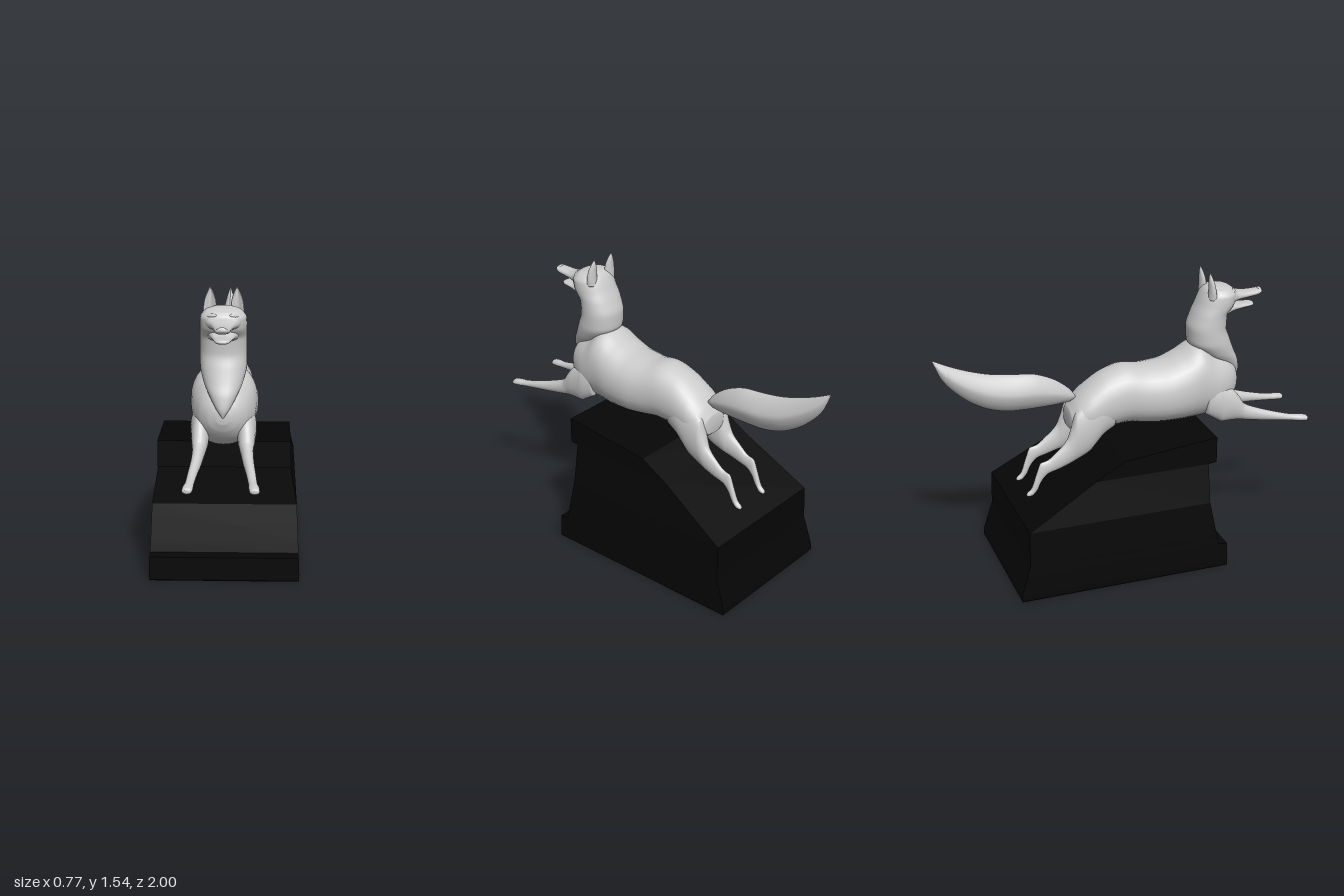
import * as THREE from 'three';
import { toCreasedNormals } from 'three/addons/utils/BufferGeometryUtils.js';

const grey = new THREE.MeshStandardMaterial({ color: 0xcccccc });
const black = new THREE.MeshStandardMaterial({ color: 0x060606 });

// Skin closed rings of points (counterclockwise about the loft axis) and cap both ends
function skin(rings) {
  const n = rings[0].length, pos = [], idx = [];
  rings.forEach(r => r.forEach(p => pos.push(...p)));
  for (let i = 0; i < rings.length - 1; i++) {
    for (let j = 0; j < n; j++) {
      const a = i * n + j, b = i * n + (j + 1) % n;
      idx.push(a, b, a + n, b, b + n, a + n);
    }
  }
  [0, rings.length - 1].forEach(i => {
    const c = pos.length / 3;
    pos.push(...[0, 1, 2].map(k => rings[i].reduce((s, p) => s + p[k] / n, 0)));
    for (let j = 0; j < n; j++) {
      const a = i * n + j, b = i * n + (j + 1) % n;
      idx.push(...(i ? [a, b, c] : [b, a, c]));
    }
  });
  const g = new THREE.BufferGeometry();
  g.setAttribute('position', new THREE.Float32BufferAttribute(pos, 3));
  g.setIndex(idx);
  g.computeVertexNormals();
  return g;
}

// Fill in sections between the given ones with a smooth curve that does not overshoot
function refine(list, steps = 6) {
  const s = [...list].sort((a, b) => a[0] - b[0]), out = [];
  const rate = (k, c) => (s[k + 1][c] - s[k][c]) / (s[k + 1][0] - s[k][0]);
  const slope = (k, c) => {
    if (k === 0) return rate(0, c);
    if (k === s.length - 1) return rate(k - 1, c);
    const d = rate(k - 1, c), e = rate(k, c);
    return d * e <= 0 ? 0 : 2 * d * e / (d + e);
  };
  for (let k = 0; k < s.length - 1; k++) {
    const h = s[k + 1][0] - s[k][0];
    for (let i = 0; i < steps; i++) {
      const t = i / steps, u = 1 - t;
      out.push(s[k].map((v, c) => c === 0 ? v + h * t :
        (1 + 2 * t) * u * u * v + t * u * u * h * slope(k, c) +
        t * t * (3 - 2 * t) * s[k + 1][c] - t * t * u * h * slope(k + 1, c)));
    }
  }
  out.push(s[s.length - 1]);
  return out;
}

// Rounded outline: power 1 is a diamond, 2 an ellipse, more is boxier
function outline(power, n = 28) {
  const bend = v => Math.sign(v) * Math.abs(v) ** (2 / power);
  return Array.from({ length: n }, (_, j) => {
    const a = j / n * Math.PI * 2;
    return [bend(Math.cos(a)), bend(Math.sin(a))];
  });
}

// Sections along z: [z, top, bottom, half width, centre x]
function loftZ(list, power = 2) {
  return skin(refine(list).map(([z, top, bottom, w, x = 0]) =>
    outline(power).map(([c, s]) => [x + c * w, (top + bottom) / 2 + s * (top - bottom) / 2, z])));
}

// Sections along y: [y, front z, back z, half width]
function loftY(list, power = 2) {
  return skin(refine(list).map(([y, front, back, w]) =>
    outline(power).map(([c, s]) => [s * w, y, (front + back) / 2 + c * (front - back) / 2])));
}

export function createModel() {
  const model = new THREE.Group();
  const add = (name, geometry, material = grey) => {
    const mesh = new THREE.Mesh(geometry, material);
    mesh.name = name;
    model.add(mesh);
    return mesh;
  };

  // Pedestal with sloped top, layers: [y, front z, back z, half width]
  const layers = [
    [0, 0.445, -0.68, 0.38], [0.006, 0.45, -0.685, 0.385], [0.04, 0.45, -0.685, 0.385],
    [0.13, 0.45, -0.657, 0.381], [0.138, 0.4, -0.655, 0.381], [0.2, 0.388, -0.635, 0.378],
    [0.385, 0.35, -0.632, 0.37], [0.595, 0.35, -0.266, 0.335], [0.6, 0.395, -0.257, 0.335],
    [0.685, 0.395, -0.11, 0.335], [0.738, 0.395, 0.38, 0.335]];
  const base = skin(layers.map(([y, f, b, w]) => [[-w, y, f], [w, y, f], [w, y, b], [-w, y, b]]));
  add('pedestal', toCreasedNormals(base, 0.02), black);

  // Torso
  add('torso', loftZ([
    [0.632, 0.96, 0.9, 0.03], [0.61, 1.01, 0.85, 0.08], [0.56, 1.06, 0.79, 0.125],
    [0.48, 1.1, 0.75, 0.155], [0.4, 1.155, 0.742, 0.165], [0.3, 1.105, 0.738, 0.172],
    [0.2, 1.07, 0.74, 0.17], [0.1, 1.065, 0.75, 0.157], [0, 1.078, 0.762, 0.143],
    [-0.1, 1.052, 0.75, 0.136], [-0.2, 0.99, 0.735, 0.134], [-0.27, 0.925, 0.74, 0.118],
    [-0.31, 0.87, 0.77, 0.07]], 2.2));

  // Neck, pointed chest ruff and skull
  add('neckAndHead', loftY([
    [0.932, 0.64, 0.62, 0.004], [0.97, 0.648, 0.57, 0.033], [1.03, 0.638, 0.5, 0.068],
    [1.09, 0.612, 0.42, 0.098], [1.16, 0.585, 0.358, 0.115], [1.23, 0.562, 0.356, 0.116],
    [1.3, 0.565, 0.378, 0.115], [1.36, 0.605, 0.405, 0.115], [1.405, 0.612, 0.425, 0.112],
    [1.437, 0.59, 0.445, 0.09], [1.452, 0.55, 0.47, 0.05], [1.456, 0.52, 0.49, 0.015]], 2.2));

  // Open muzzle
  add('upperMuzzle', loftZ([
    [0.53, 1.452, 1.34, 0.09], [0.58, 1.436, 1.35, 0.085], [0.62, 1.412, 1.36, 0.06],
    [0.68, 1.402, 1.365, 0.043], [0.74, 1.404, 1.372, 0.037], [0.76, 1.406, 1.382, 0.03],
    [0.767, 1.4, 1.39, 0.012]], 2.3));
  add('lowerJaw', loftZ([
    [0.54, 1.36, 1.285, 0.08], [0.6, 1.35, 1.305, 0.06], [0.65, 1.338, 1.312, 0.045],
    [0.7, 1.338, 1.315, 0.036], [0.717, 1.336, 1.318, 0.026], [0.723, 1.33, 1.324, 0.01]], 2.3));
  const nose = add('nose', new THREE.SphereGeometry(0.014, 16, 12));
  nose.position.set(0, 1.4, 0.755);
  nose.scale.set(1.4, 0.7, 0.8);

  // Tail with creased sides
  add('tail', toCreasedNormals(loftZ([
    [-0.265, 0.94, 0.925, 0.006], [-0.3, 0.985, 0.908, 0.022], [-0.4, 1.055, 0.9, 0.045],
    [-0.5, 1.09, 0.898, 0.058], [-0.6, 1.1, 0.9, 0.063], [-0.7, 1.115, 0.92, 0.061],
    [-0.8, 1.142, 0.968, 0.052], [-0.9, 1.18, 1.05, 0.037], [-0.96, 1.208, 1.125, 0.022],
    [-1, 1.228, 1.218, 0.003]], 1.5), 0.6));

  // Paired parts
  for (const [side, s] of [['left', 1], ['right', -1]]) {
    const mirrored = list => list.map(([z, t, b, w, x]) => [z, t, b, w, x * s]);

    add(side + 'FrontLeg', loftZ(mirrored([
      [0.42, 0.95, 0.78, 0.03, 0.12], [0.49, 0.94, 0.735, 0.045, 0.118],
      [0.51, 0.93, 0.723, 0.045, 0.116], [0.57, 0.9, 0.722, 0.043, 0.113],
      [0.61, 0.855, 0.72, 0.036, 0.114], [0.64, 0.808, 0.715, 0.031, 0.117],
      [0.72, 0.772, 0.703, 0.027, 0.125], [0.82, 0.74, 0.692, 0.023, 0.138],
      [0.92, 0.715, 0.68, 0.021, 0.149], [0.96, 0.711, 0.675, 0.025, 0.154],
      [0.99, 0.705, 0.673, 0.024, 0.157], [1, 0.697, 0.68, 0.014, 0.158]])));

    add(side + 'HindLeg', loftZ(mirrored([
      [-0.08, 0.97, 0.775, 0.035, 0.085], [-0.14, 0.96, 0.74, 0.047, 0.086],
      [-0.19, 0.94, 0.685, 0.05, 0.086], [-0.22, 0.925, 0.652, 0.05, 0.086],
      [-0.29, 0.875, 0.618, 0.043, 0.09], [-0.315, 0.8, 0.608, 0.037, 0.093],
      [-0.34, 0.738, 0.6, 0.03, 0.097], [-0.4, 0.678, 0.58, 0.021, 0.1],
      [-0.45, 0.64, 0.565, 0.017, 0.1], [-0.487, 0.63, 0.525, 0.015, 0.1],
      [-0.51, 0.575, 0.478, 0.014, 0.1], [-0.54, 0.49, 0.452, 0.015, 0.099],
      [-0.56, 0.472, 0.45, 0.012, 0.098], [-0.566, 0.464, 0.455, 0.005, 0.098]])));

    // Ear: crescent section, hollow towards the front
    const earSections = [[1.395, 0.47, 0.03, 0.028], [1.43, 0.468, 0.033, 0.025],
      [1.47, 0.464, 0.029, 0.021], [1.51, 0.456, 0.016, 0.013], [1.538, 0.449, 0.002, 0.002]];
    const ear = skin(refine(earSections).map(([y, z, w, d]) => outline(2).map(([c, q]) =>
      [s * (0.067 + (y - 1.4) * -0.02) + q * w, y, z + d * (c > 0 ? 0.9 * c * (1 - 1.5 * c * c) : c)])));
    add(side + 'Ear', ear);

    // Eye and brow
    const eye = add(side + 'Eye', new THREE.SphereGeometry(0.016, 16, 10));
    eye.position.set(s * 0.062, 1.402, 0.596);
    eye.scale.set(1.1, 0.45, 0.5);
    eye.rotation.set(-0.4, s * 0.6, s * 0.2);
    const brow = add(side + 'Brow', new THREE.SphereGeometry(0.022, 16, 10));
    brow.position.set(s * 0.055, 1.424, 0.582);
    brow.scale.set(1.3, 0.45, 0.6);
    brow.rotation.set(0, s * 0.5, s * -0.15);
  }
  return model;
}
